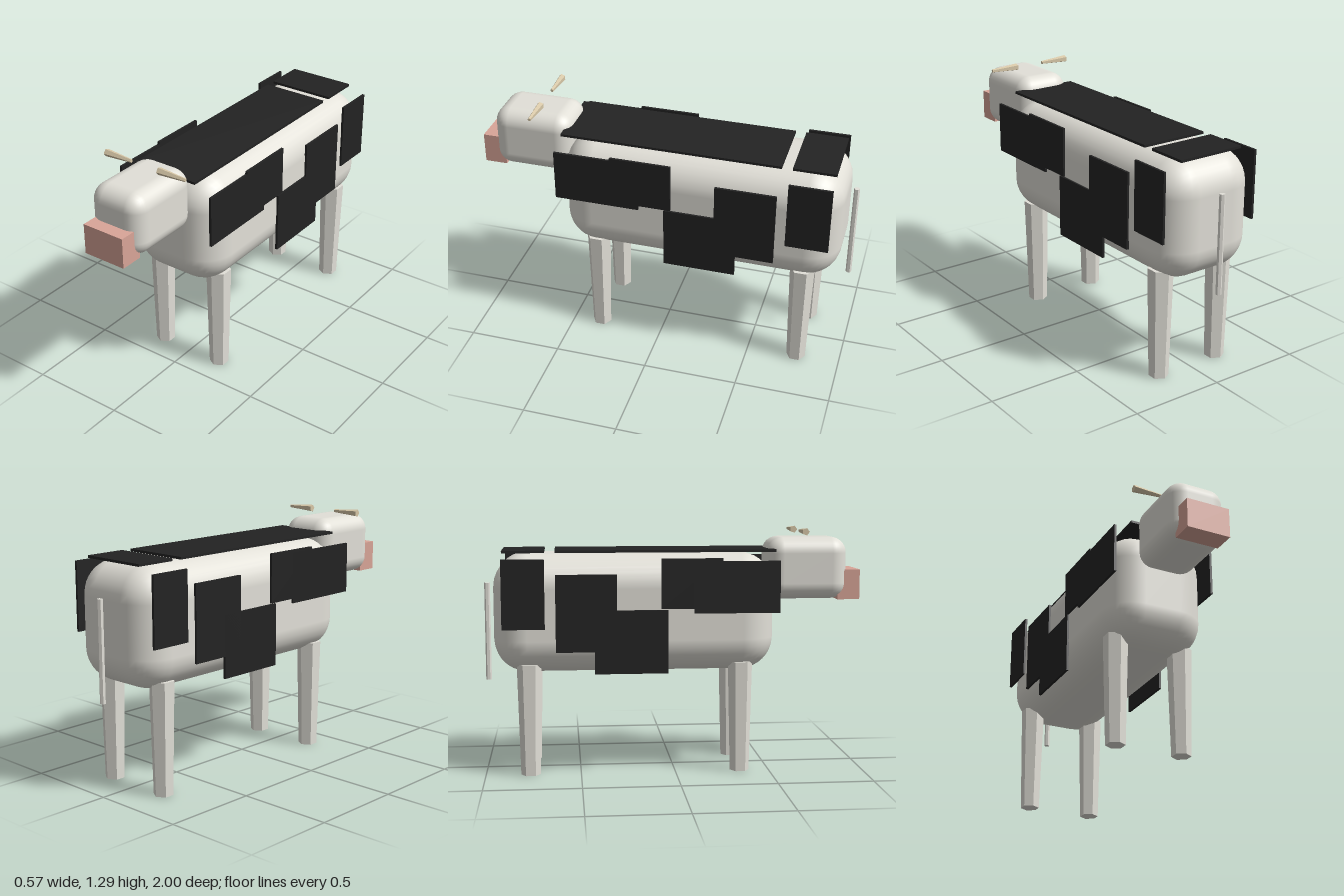
import * as THREE from 'three';
import { RoundedBoxGeometry } from 'three/addons/geometries/RoundedBoxGeometry.js';

function material(name, color) {
  const m = new THREE.MeshStandardMaterial({ color });
  m.name = name;
  return m;
}

export function createModel() {
  const hide = material('off-white hide', 0xe2e0d8);
  const black = material('black patch', 0x232323);
  const pink = material('pink muzzle', 0xd9a598);
  const horn = material('tan horn', 0xd8c8a8);
  for (const m of [hide, black, pink, horn]) m.flatShading = false;

  const group = new THREE.Group();
  group.name = 'cow';
  const add = (name, geometry, mat, x, y, z) => {
    // Low-poly cylinders keep hard facets
    const faceted = geometry.type === 'CylinderGeometry';
    const mesh = new THREE.Mesh(faceted ? geometry.toNonIndexed() : geometry, mat);
    if (faceted) mesh.geometry.computeVertexNormals();
    mesh.name = name;
    mesh.position.set(x, y, z);
    group.add(mesh);
    return mesh;
  };

  // Body, head and muzzle
  add('body', new RoundedBoxGeometry(0.55, 0.62, 1.475, 4, 0.175), hide, 0, 0.85, -0.21);
  add('head', new RoundedBoxGeometry(0.31, 0.33, 0.43, 4, 0.085), hide, 0, 1.073, 0.715);
  add('muzzle', new THREE.BoxGeometry(0.236, 0.16, 0.12), pink, 0, 0.985, 0.94);

  // Tapered six-sided legs
  for (const x of [-0.184, 0.184]) {
    for (const z of [0.345, -0.765]) {
      add(z > 0 ? 'frontLeg' : 'backLeg',
        new THREE.CylinderGeometry(0.065, 0.051, 0.59, 6), hide, x, 0.295, z);
    }
  }

  // Horns, both tapering towards the model's left
  for (const x of [-0.164, 0.162]) {
    add('horn', new THREE.CylinderGeometry(0.009, 0.02, 0.16, 5), horn, x, 1.272, 0.677)
      .rotation.z = -Math.PI / 2;
  }

  // Tail
  add('tail', new THREE.CylinderGeometry(0.015, 0.015, 0.52, 6), hide, 0, 0.74, -0.985);

  // Side patches: back z, front z, bottom y, top y
  const sidePatches = [
    [0.09, 0.54, 0.855, 1.125],
    [-0.08, 0.24, 0.88, 1.14],
    [-0.425, -0.045, 0.545, 0.875],
    [-0.625, -0.31, 0.66, 1.06],
    [-0.9, -0.68, 0.78, 1.14],
  ];
  for (const side of [-1, 1]) {
    for (const [z0, z1, y0, y1] of sidePatches) {
      add('sidePatch', new THREE.BoxGeometry(0.013, y1 - y0, z1 - z0), black,
        side * 0.2795, (y0 + y1) / 2, (z0 + z1) / 2);
    }
  }

  // Back patches: back z, front z
  for (const [z0, z1] of [[-0.625, 0.535], [-0.9, -0.68]]) {
    add('backPatch', new THREE.BoxGeometry(0.368, 0.013, z1 - z0), black,
      0, 1.172, (z0 + z1) / 2);
  }

  return group;
}
